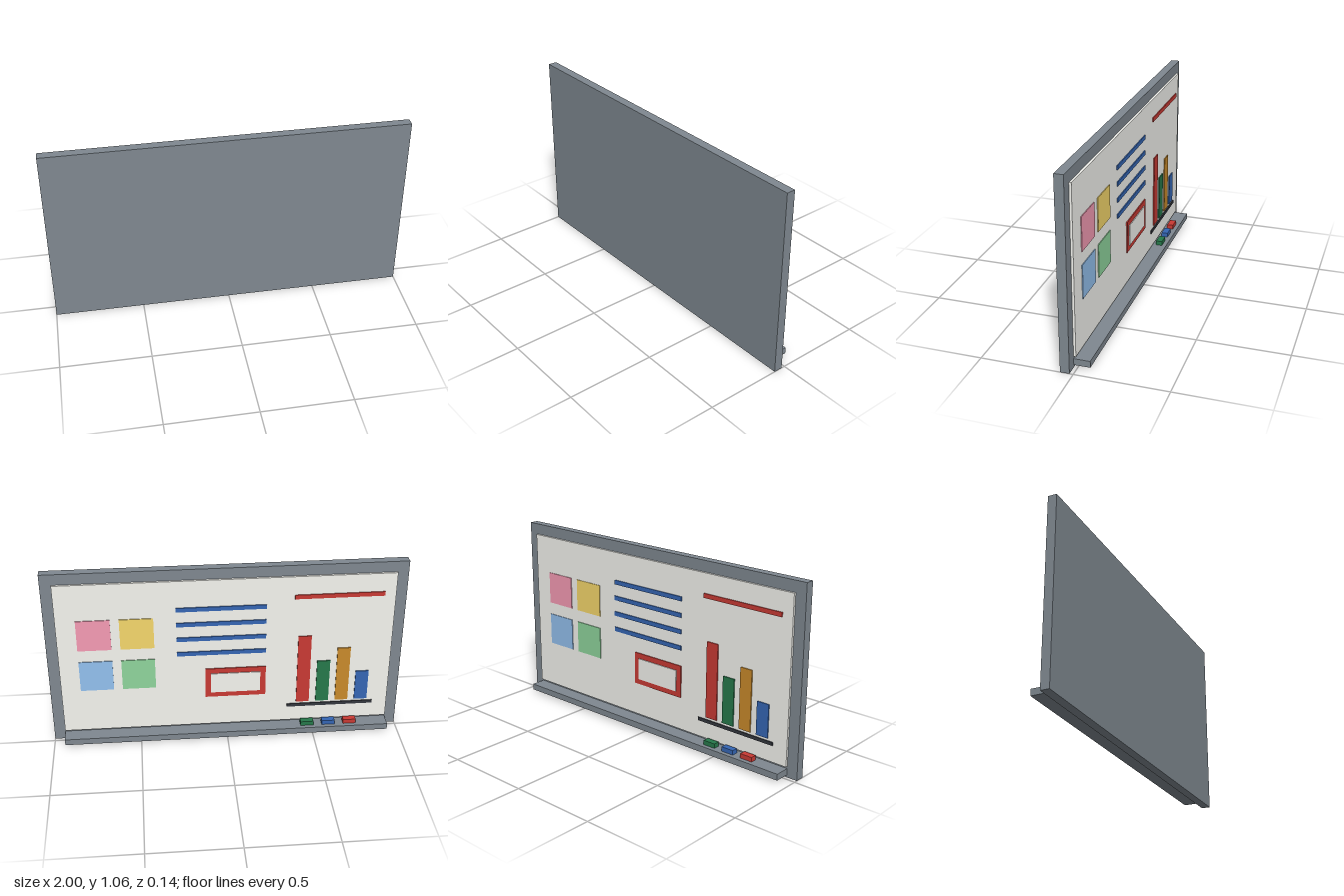
import * as THREE from 'three';

const COLORS = {
  frame: 0x7f8890, panel: 0xf4f4ef, ink: 0x33363d,
  red: 0xc93a34, blue: 0x3566b4, green: 0x26784a, gold: 0xc98a2b,
  pink: 0xf59bb4, yellow: 0xf5d76b, sky: 0x93c0ee, mint: 0x8fd49c,
};
const materials = {};
for (const key in COLORS) materials[key] = new THREE.MeshStandardMaterial({ color: COLORS[key] });

export function createModel() {
  const group = new THREE.Group();

  // Box given by its x, y and z ranges
  function box(name, color, [x0, x1], [y0, y1], [z0, z1]) {
    const mesh = new THREE.Mesh(new THREE.BoxGeometry(x1 - x0, y1 - y0, z1 - z0), materials[color]);
    mesh.position.set((x0 + x1) / 2, (y0 + y1) / 2, (z0 + z1) / 2);
    mesh.name = name;
    group.add(mesh);
  }
  const span = (center, size) => [center - size / 2, center + size / 2];

  // Backing frame, writing surface and pen tray; the written side faces -z
  box('frame', 'frame', [-1, 1], [0, 1.0625], [0.02, 0.07]);
  box('writingSurface', 'panel', [-0.9375, 0.9375], [0.0625, 1], [0.0075, 0.02]);
  box('tray', 'frame', [-0.9375, 0.9375], [0.0135, 0.05], [-0.068, 0.02]);

  const thin = [0.0015, 0.0085];

  // Sticky notes, two by two
  [['pink', 0.734, 0.6875], ['yellow', 0.497, 0.6875], ['sky', 0.734, 0.427], ['mint', 0.497, 0.427]]
    .forEach(([color, x, y]) => box('stickyNote', color, span(x, 0.1875), span(y, 0.1875), [0.003, 0.0085]));

  // Heading stroke and text strokes
  box('headingStroke', 'red', span(-0.625, 0.5), span(0.877, 0.025), thin);
  for (let i = 0; i < 4; i++) {
    box('textStroke', 'blue', span(0.03, 0.5), span(0.826 - i * 0.0935, 0.025), thin);
  }

  // Outlined box: red plate with a pale inset in front
  box('outlineBox', 'red', span(-0.05, 0.344), span(0.3475, 0.1875), thin);
  box('outlineBoxInset', 'panel', span(-0.05, 0.281), span(0.3475, 0.125), [-0.003, 0.0015]);

  // Bar chart on its base line
  box('chartBaseLine', 'ink', span(-0.6, 0.5), span(0.167, 0.019), thin);
  [['red', 0.4375], ['green', 0.27], ['gold', 0.35], ['blue', 0.19]].forEach(([color, height], i) =>
    box('chartBar', color, span(-0.44 - i * 0.1135, 0.075), [0.19, 0.19 + height], thin));

  // Markers lying on the tray
  ['red', 'blue', 'green'].forEach((color, i) =>
    box('marker', color, span(-0.7165 + i * 0.125, 0.075), [0.05, 0.076], [-0.043, -0.006]));

  return group;
}
